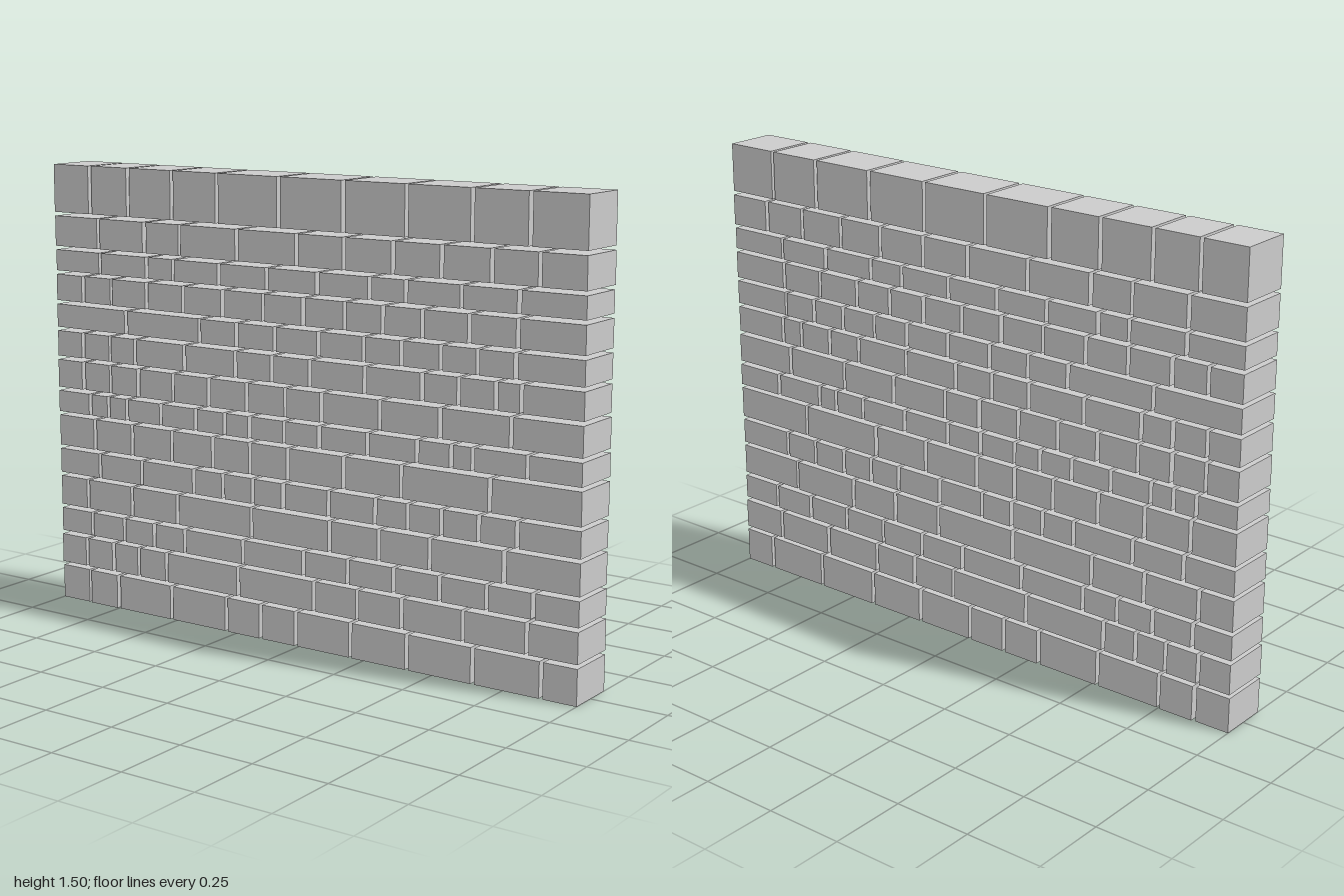
import * as THREE from 'three';

const GAP = 0.013;        // open joint between neighbouring stones
const DEPTH = 0.175;      // nominal wall thickness
const PAIR_WIDTH = 0.235; // a span at least this wide holds two equal stones

// Each course, bottom to top: height of its upper joint and the ends of its spans
const courses = [
  { top: 0.121, spans: [-0.75, -0.29, -0.01, 0.41, 0.88] },
  { top: 0.232, spans: [-0.77, -0.66, -0.54, 0.06, 0.39, 0.83] },
  { top: 0.325, spans: [-0.72, -0.46, 0.02, 0.36, 0.69] },
  { top: 0.438, spans: [-0.88, -0.49, 0.12, 0.49] },
  { top: 0.534, spans: [-0.64, -0.42, -0.3, -0.06, 0.29, 0.53, 0.79] },
  { top: 0.651, spans: [-0.68, -0.34, -0.04, 0.385] },
  { top: 0.736, spans: [-0.86, -0.78, -0.7, -0.41, -0.29, -0.19, 0.08, 0.44, 0.56, 0.635] },
  { top: 0.843, spans: [-0.77, -0.65, -0.355, -0.05, 0.09, 0.52] },
  { top: 0.942, spans: [-0.77, -0.66, -0.245, 0.045, 0.455, 0.71, 0.795] },
  { top: 1.033, spans: [-0.39, -0.09, 0.245, 0.52, 0.775] },
  { top: 1.134, spans: [-0.76, -0.455, -0.135, 0.175, 0.455, 0.78] },
  { top: 1.217, spans: [-0.607, -0.497, -0.12, 0.265, 0.395, 0.783] },
  { top: 1.331, spans: [-0.615, -0.468, -0.005, 0.35, 0.69] },
  { top: 1.503, spans: [-0.682, -0.315, 0.168, 0.623] },
];

export function createModel() {
  const wall = new THREE.Group();
  wall.name = 'stoneWall';
  const material = new THREE.MeshStandardMaterial({ color: 0xcccccc });

  let seed = 7;
  const random = () => {
    seed = (seed * 16807) % 2147483647;
    return seed / 2147483647;
  };

  // One stone filling the cell between joint centres, with a slightly varied depth
  const addStone = (course, left, right, bottom, top) => {
    const depth = DEPTH - 0.006 + random() * 0.008;
    const stone = new THREE.Mesh(
      new THREE.BoxGeometry(right - left - GAP, top - bottom - GAP, depth), material);
    stone.name = `stone${course.children.length + 1}`;
    stone.position.set((left + right) / 2, (bottom + top) / 2, 0);
    course.add(stone);
  };

  let bed = -GAP / 2; // the bottom course rests on the ground
  courses.forEach(({ top, spans }, row) => {
    const course = new THREE.Group();
    course.name = row === courses.length - 1 ? 'copingCourse' : `course${row + 1}`;

    // Outer ends stay flush; wide spans are halved into a pair of stones
    let left = -1 - GAP / 2;
    for (const right of [...spans, 1 + GAP / 2]) {
      const count = right - left >= PAIR_WIDTH ? 2 : 1;
      const width = (right - left) / count;
      for (let i = 0; i < count; i++) {
        addStone(course, left + i * width, left + (i + 1) * width, bed, top);
      }
      left = right;
    }
    wall.add(course);
    bed = top;
  });
  return wall;
}
